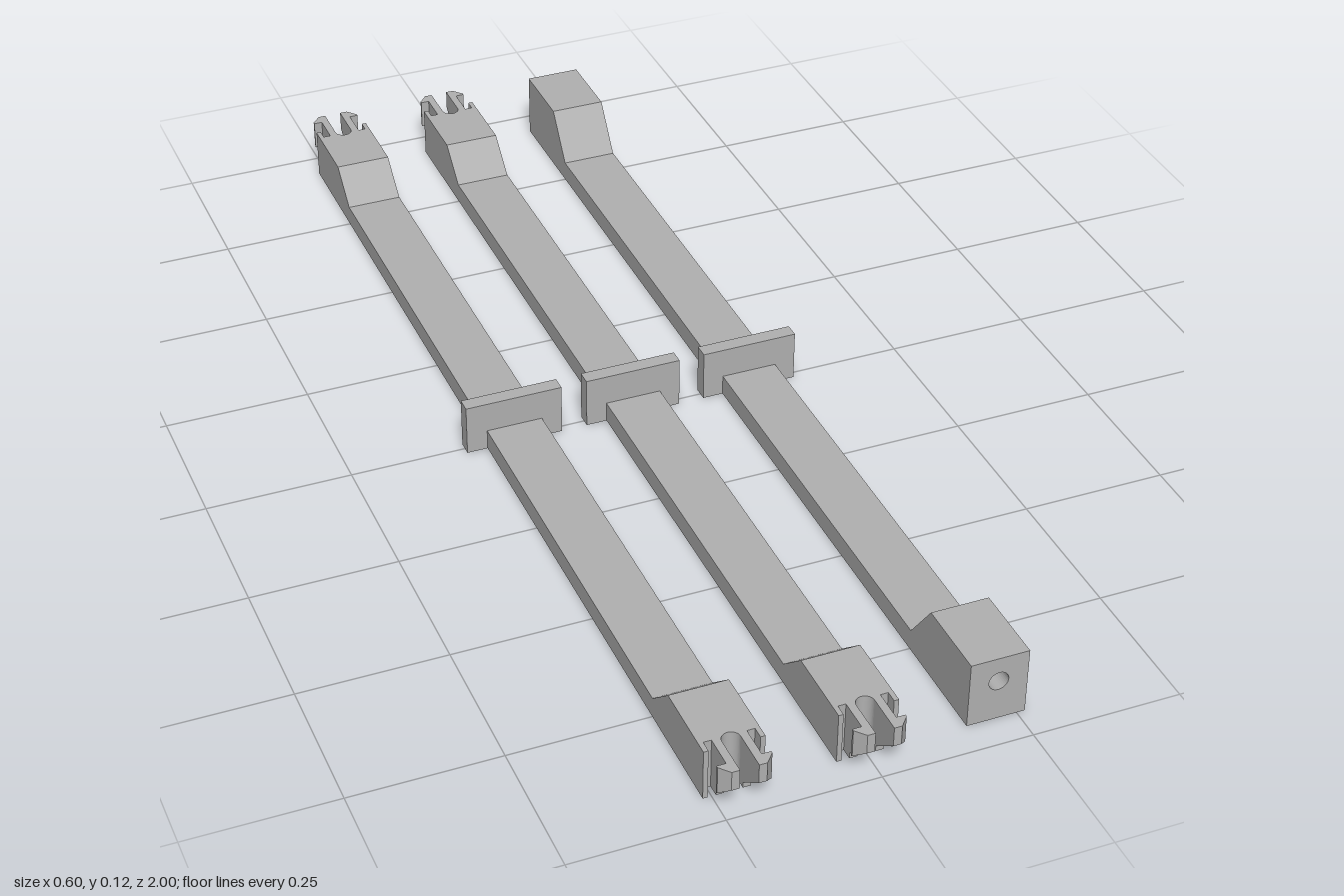
import * as THREE from 'three';

const HALF = 0.049;      // half width of a bar
const CLIP_H = 0.09;     // height of clip ends and cross plates
const SOCKET_H = 0.117;  // height of socket ends
const HOLE_Y = 0.073;

const grey = new THREE.MeshStandardMaterial({ color: 0xb0b0b0 });
grey.name = 'grey plastic';

function mesh(name, geometry, parent) {
  const m = new THREE.Mesh(geometry, grey);
  m.name = name;
  parent.add(m);
  return m;
}

const shapeOf = (pts) => new THREE.Shape(pts.map(([x, y]) => new THREE.Vector2(x, y)));
const extrude = (shape, depth) =>
  new THREE.ExtrudeGeometry(shape, { depth, bevelEnabled: false, curveSegments: 16 });

// Side profile (z, y) swept across the width of the bar
function beam(end, h) {
  const shape = shapeOf([
    [-end, 0], [end, 0], [end, h], [0.81, h], [0.75, 0.036],
    [-0.75, 0.036], [-0.81, h], [-end, h],
  ]);
  return extrude(shape, HALF * 2).translate(0, 0, -HALF).rotateY(-Math.PI / 2);
}

// Plan outline (x, z) raised from the ground to height h
const fromPlan = (shape, h) => extrude(shape, h).rotateX(Math.PI / 2).translate(0, h, 0);

// Forked end with two barbed prongs, pointing to +z
function clipEnd() {
  const group = new THREE.Group();
  group.name = 'clipEnd';

  const root = new THREE.Shape();
  root.moveTo(-HALF, 0.9);
  for (const [x, z] of [[HALF, 0.9], [HALF, 0.945], [0.041, 0.945], [0.041, 0.925],
    [0.028, 0.925], [0.028, 0.945], [0.015, 0.945], [0.015, 0.933]]) root.lineTo(x, z);
  root.absarc(0, 0.933, 0.015, 0, Math.PI, true);
  for (const [x, z] of [[-0.015, 0.945], [-0.028, 0.945], [-0.028, 0.925], [-0.041, 0.925],
    [-0.041, 0.945], [-HALF, 0.945]]) root.lineTo(x, z);
  mesh('clipRoot', fromPlan(root, CLIP_H), group);

  for (const side of [1, -1]) {
    const outline = [[0.015, 0.945], [0.028, 0.945], [0.028, 0.979], [0.043, 0.979],
      [0.043, 0.983], [0.028, 1], [0.015, 1]].map(([x, z]) => [x * side, z]);
    const geo = fromPlan(shapeOf(outline), CLIP_H);
    // slant the underside up towards the tip
    const p = geo.attributes.position;
    for (let i = 0; i < p.count; i++) {
      if (p.getY(i) < 0.001) p.setY(i, 0.01 + ((p.getZ(i) - 0.945) / 0.055) * 0.045);
    }
    geo.computeVertexNormals();
    mesh('prong', geo, group);
  }
  return group;
}

// Socket end: a slice with a side pocket behind a slice with a round hole
function addSocketEnd(parent, dir) {
  const slice = (name, shape, z0, z1) => {
    const geo = extrude(shape, z1 - z0).translate(0, 0, dir > 0 ? z0 : -z1);
    mesh(name, geo, parent);
  };
  const r = 0.029;
  const pocket = new THREE.Shape();
  pocket.moveTo(-HALF, 0);
  pocket.lineTo(HALF, 0);
  pocket.lineTo(HALF, HOLE_Y - r);
  pocket.lineTo(0, HOLE_Y - r);
  pocket.absarc(0, HOLE_Y, r, -Math.PI / 2, Math.PI / 2, true);
  pocket.lineTo(HALF, HOLE_Y + r);
  pocket.lineTo(HALF, SOCKET_H);
  pocket.lineTo(-HALF, SOCKET_H);
  slice('socketPocket', pocket, 0.863, 0.892);

  const face = shapeOf([[-HALF, 0], [HALF, 0], [HALF, SOCKET_H], [-HALF, SOCKET_H]]);
  face.holes.push(new THREE.Path().absarc(0, HOLE_Y, 0.0165, 0, Math.PI * 2, true));
  slice('socketFace', face, 0.892, 0.945);
}

export function createModel() {
  const model = new THREE.Group();
  model.name = 'connectorBars';

  [-0.215, 0, 0.215].forEach((x, i) => {
    const bar = new THREE.Group();
    const socket = i === 2;
    bar.name = socket ? 'socketBar' : 'clipBar';
    bar.position.x = x;

    mesh('beam', socket ? beam(0.863, SOCKET_H) : beam(0.9, CLIP_H), bar);
    mesh('crossPlate', new THREE.BoxGeometry(0.17, CLIP_H, 0.026), bar)
      .position.y = CLIP_H / 2;

    for (const dir of [1, -1]) {
      if (socket) {
        addSocketEnd(bar, dir);
      } else {
        const end = clipEnd();
        if (dir < 0) end.rotation.y = Math.PI;
        bar.add(end);
      }
    }
    model.add(bar);
  });
  return model;
}
